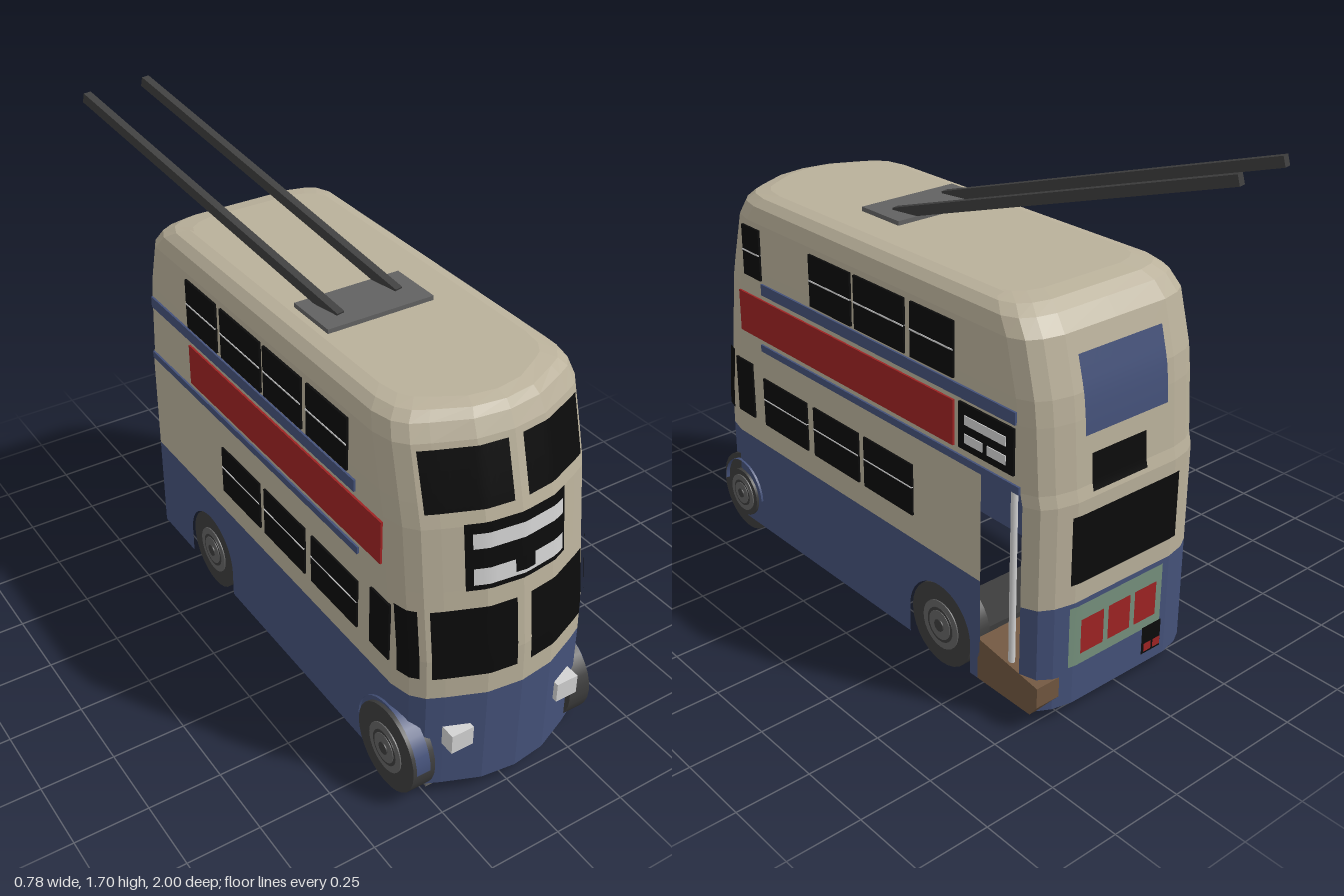
import * as THREE from 'three';

const mat = (name, color, side = THREE.FrontSide) => {
  const m = new THREE.MeshStandardMaterial({ color, side });
  m.name = name;
  return m;
};
const CX = 0.028; // body centre line
// body levels: y, front z, rear z, half width
const LEVELS = [
  [0.05, 1.0, -0.8, 0.342], [0.41, 1.0, -0.8, 0.342], [0.55, 0.995, -0.8, 0.342],
  [0.75, 0.97, -0.8, 0.342], [0.79, 0.965, -0.79, 0.342], [1.0, 0.94, -0.775, 0.342],
  [1.08, 0.92, -0.765, 0.342], [1.25, 0.875, -0.72, 0.34], [1.3, 0.85, -0.68, 0.327],
  [1.325, 0.83, -0.64, 0.3], [1.335, 0.79, -0.58, 0.26],
];
// plan curves: share of half width, z offset
const FRONT = [[0, 0], [0.35, -0.015], [0.7, -0.065], [0.85, -0.09], [0.95, -0.13], [1, -0.2]];
const REAR = [[0, 0], [0.6, 0], [0.8, 0.015], [0.93, 0.04], [1, 0.09]];
const DOOR_Z = -0.53;

function lerpTable(table, k, col) {
  let i = 0;
  while (i < table.length - 2 && k > table[i + 1][0]) i++;
  const a = table[i], b = table[i + 1];
  const f = Math.min(1, Math.max(0, (k - a[0]) / (b[0] - a[0])));
  return a[col] + (b[col] - a[col]) * f;
}

function ring([y, f, r, w]) {
  const curve = (table, base, sign) => {
    const half = table.map(([t, d]) => [t, base + d]);
    const left = half.slice().reverse().map(([t, z]) => [CX + sign * t * w, y, z]);
    return left.concat(half.slice(1).map(([t, z]) => [CX - sign * t * w, y, z]));
  };
  return [...curve(FRONT, f, 1), [CX - w, y, DOOR_Z], ...curve(REAR, r, -1), [CX + w, y, DOOR_Z]];
}

// skin between successive levels; skip(cell, y) leaves openings
function loft(levels, skip, cap) {
  const pos = [], rings = levels.map(ring);
  for (let j = 0; j < rings.length - 1; j++) {
    const lo = rings[j], hi = rings[j + 1], n = lo.length;
    for (let i = 0; i < n; i++) {
      if (skip(i, levels[j][0])) continue;
      const k = (i + 1) % n;
      pos.push(...lo[i], ...hi[i], ...lo[k], ...lo[k], ...hi[i], ...hi[k]);
    }
  }
  if (cap) {
    const top = rings[rings.length - 1];
    top.forEach((p, i) => pos.push(...p, CX, p[1], 0.1, ...top[(i + 1) % top.length]));
  }
  const g = new THREE.BufferGeometry();
  g.setAttribute('position', new THREE.Float32BufferAttribute(pos, 3));
  g.computeVertexNormals();
  return g;
}

// thin plate following the front or rear of the body
function curvedPlate(x0, x1, y0, y1, rear, off) {
  const g = new THREE.PlaneGeometry(1, 1, 14, 6), p = g.attributes.position;
  for (let i = 0; i < p.count; i++) {
    const u = p.getX(i) + 0.5, y = y0 + (y1 - y0) * (p.getY(i) + 0.5);
    const x = rear ? x1 + (x0 - x1) * u : x0 + (x1 - x0) * u;
    const t = Math.abs(x - CX) / lerpTable(LEVELS, y, 3);
    const z = rear ? lerpTable(LEVELS, y, 2) + lerpTable(REAR, t, 1) - off
      : lerpTable(LEVELS, y, 1) + lerpTable(FRONT, t, 1) + off;
    p.setXYZ(i, x + Math.sign(x - CX) * off * t ** 4, y, z);
  }
  g.computeVertexNormals();
  return g;
}

export function createModel() {
  const group = new THREE.Group();
  const cream = mat('cream paint', 0xb9b09a, THREE.DoubleSide);
  const blue = mat('blue paint', 0x445179, THREE.DoubleSide);
  const red = mat('red', 0x9e2323), black = mat('black glass', 0x0b0b0b);
  const dark = mat('dark grey', 0x3d3d3d), grey = mat('mid grey', 0x626262);
  const light = mat('light grey', 0xd2d2d2), brown = mat('brown', 0x70563f);
  const green = mat('pale green', 0x75907c);

  const add = (name, geo, m) => {
    const mesh = new THREE.Mesh(geo, m);
    mesh.name = name;
    group.add(mesh);
    return mesh;
  };
  const box = (name, m, x0, x1, y0, y1, z0, z1) => {
    const b = add(name, new THREE.BoxGeometry(x1 - x0, y1 - y0, z1 - z0), m);
    b.position.set((x0 + x1) / 2, (y0 + y1) / 2, (z0 + z1) / 2);
    return b;
  };
  const front = (name, m, x0, x1, y0, y1, off = 0.008) => add(name, curvedPlate(x0, x1, y0, y1, false, off), m);
  const rear = (name, m, x0, x1, y0, y1, off = 0.008) => add(name, curvedPlate(x0, x1, y0, y1, true, off), m);
  const side = (name, m, s, z0, z1, y0, y1, out = 0.007) => {
    const x = CX + s * (0.342 + out - 0.004);
    return box(name, m, x - 0.004, x + 0.004, y0, y1, z0, z1);
  };

  // body shell: cells 10 and 21 are the long sides, 20 is the open rear doorway
  add('lowerBody', loft(LEVELS.slice(0, 2), (i) => i === 10 || i === 20 || i === 21), blue);
  add('upperBody', loft(LEVELS.slice(1), (i, y) => i === 20 && y < 0.78, true), cream);

  // lower side panels with rear wheel arches
  const panel = new THREE.Shape();
  panel.moveTo(0.8, 0.05).lineTo(0.8, 0.41).lineTo(DOOR_Z, 0.41).lineTo(DOOR_Z, 0.05).lineTo(-0.485, 0.05);
  panel.absarc(-0.335, 0.15, 0.15, Math.PI, 0, true);
  panel.lineTo(-0.185, 0.05);
  for (const s of [-1, 1]) {
    const g = new THREE.ShapeGeometry(panel, 16).rotateY(-Math.PI / 2);
    add('lowerSidePanel', g, blue).position.x = CX + s * 0.342;
  }

  // side windows, bands and panels
  for (const s of [-1, 1]) {
    const upper = [[-0.41, -0.21], [-0.18, 0.07], [0.09, 0.31]];
    if (s < 0) upper.push([0.34, 0.56]);
    else upper.push([0.6, 0.7]);
    for (const [a, b] of upper) {
      side('upperSideWindow', black, s, a, b, 1.05, 1.23);
      side('upperWindowRail', light, s, a, b, 1.138, 1.143, 0.009);
    }
    for (const [a, b] of [[-0.21, 0.04], [0.07, 0.32], [0.36, 0.62]]) {
      side('lowerSideWindow', black, s, a, b, 0.5, 0.68);
      side('lowerWindowRail', light, s, a, b, 0.598, 0.602, 0.009);
    }
    side('cabSideWindow', black, s, 0.69, 0.79, 0.5, 0.71);
    front('cabCornerWindow', black, ...[CX + s * 0.305, CX + s * 0.336].sort((a, b) => a - b), 0.49, 0.73);
    side('redPanel', red, s, -0.41, 0.74, 0.83, 0.98);
    side('upperBlueBand', blue, s, -0.68, 0.6, 1.0, 1.04);
    side('lowerBlueBand', blue, s, -0.7, 0.62, 0.785, 0.81);
  }

  // side destination box
  side('sideDestination', black, 1, -0.68, -0.44, 0.84, 0.99, 0.012);
  side('sideDestinationStripe', light, 1, -0.65, -0.47, 0.925, 0.955, 0.015);
  for (const z of [-0.65, -0.55]) side('sideDestinationNumber', light, 1, z, z + 0.08, 0.865, 0.895, 0.015);

  // front windows, destination box and headlights
  for (const [a, b] of [[-0.25, 0], [0.05, 0.3]]) {
    front('upperFrontWindow', black, a, b, 1.05, 1.235);
    front('windscreen', black, a, b, 0.49, 0.73);
  }
  front('frontDestination', black, -0.155, 0.2, 0.79, 1.01);
  front('frontDestinationStripe', light, -0.135, 0.185, 0.93, 0.98, 0.013);
  front('frontDestinationLower', light, -0.135, 0.185, 0.81, 0.865, 0.013);
  front('frontDestinationNotch', black, -0.01, 0.06, 0.825, 0.87, 0.017);
  for (const x of [-0.215, 0.19]) box('headlight', light, x, x + 0.08, 0.22, 0.29, 0.93, 0.985);
  box('frontSill', grey, -0.25, 0.3, 0.03, 0.055, 0.85, 0.91);

  // rear windows and lamp panel
  rear('rearWindow', black, -0.19, 0.255, 0.48, 0.71);
  rear('rearDestination', black, -0.048, 0.177, 0.77, 0.89);
  rear('upperRearWindow', blue, -0.14, 0.2, 0.95, 1.19);
  rear('lampPanel', green, -0.14, 0.255, 0.19, 0.4);
  for (const x of [-0.11, 0.005, 0.12]) rear('redLampPanel', red, x, x + 0.095, 0.23, 0.35, 0.013);
  rear('tailLampBox', black, -0.14, -0.056, 0.1, 0.2, 0.014);
  for (const x of [-0.135, -0.095]) rear('tailLamp', red, x, x + 0.032, 0.11, 0.14, 0.018);

  // boarding platform and grab pole
  const step = new THREE.Shape();
  step.moveTo(-0.52, 0.05).lineTo(-0.52, 0.2).lineTo(-0.79, 0.16).lineTo(-0.79, 0.09).lineTo(-0.76, 0.05);
  const stepGeo = new THREE.ExtrudeGeometry(step, { depth: 0.36, bevelEnabled: false }).rotateY(-Math.PI / 2);
  add('platform', stepGeo, brown).position.x = 0.37;
  const grab = add('grabPole', new THREE.CylinderGeometry(0.011, 0.011, 0.62, 10), light);
  grab.position.set(0.35, 0.48, -0.655);

  // wheels
  const wheel = (name, s, x, z, r, hub) => {
    const w = new THREE.Group();
    w.name = name;
    for (const [m, rad, width] of [[dark, r, 0.08], [grey, hub, 0.088], [dark, hub * 0.72, 0.092], [grey, hub * 0.6, 0.096], [dark, hub * 0.25, 0.104]]) {
      const c = new THREE.Mesh(new THREE.CylinderGeometry(rad, rad, width, 28).rotateZ(Math.PI / 2), m);
      c.name = 'wheelRing';
      w.add(c);
    }
    w.position.set(CX + s * x, 0.15, z);
    group.add(w);
  };
  for (const s of [-1, 1]) wheel('rearWheel', s, 0.295, -0.335, 0.145, 0.085);
  wheel('frontWheel', -1, 0.315, 0.8, 0.15, 0.085);
  wheel('frontWheel', 1, 0.295, 0.8, 0.15, 0.07);
  wheel('frontWheelFace', 1, 0.312, 0.8, 0.09, 0.07);
  for (const s of [-1, 1]) {
    const r = s > 0 ? 0.12 : 0.16;
    const g = new THREE.CylinderGeometry(r, r, 0.05, 16, 1, true, 0, Math.PI).rotateZ(Math.PI / 2);
    add('frontMudguard', g, blue).position.set(CX + s * 0.325, 0.16, 0.8);
  }
  for (const z of [-0.335, 0.8]) box('axlePlate', dark, -0.24, 0.3, 0.11, 0.14, z - 0.1, z + 0.1);

  // roof base and trolley poles
  box('poleBase', grey, -0.21, 0.17, 1.33, 1.35, 0.1, 0.29);
  for (const [a, b] of [[[-0.13, 1.34, 0.23], [-0.37, 1.685, -0.96]], [[0.1, 1.34, 0.2], [-0.14, 1.685, -0.99]]]) {
    const p = new THREE.Vector3(...a), q = new THREE.Vector3(...b);
    const pole = add('trolleyPole', new THREE.BoxGeometry(0.028, 0.034, p.distanceTo(q)), dark);
    pole.position.copy(p).add(q).multiplyScalar(0.5);
    pole.lookAt(q);
  }
  return group;
}
